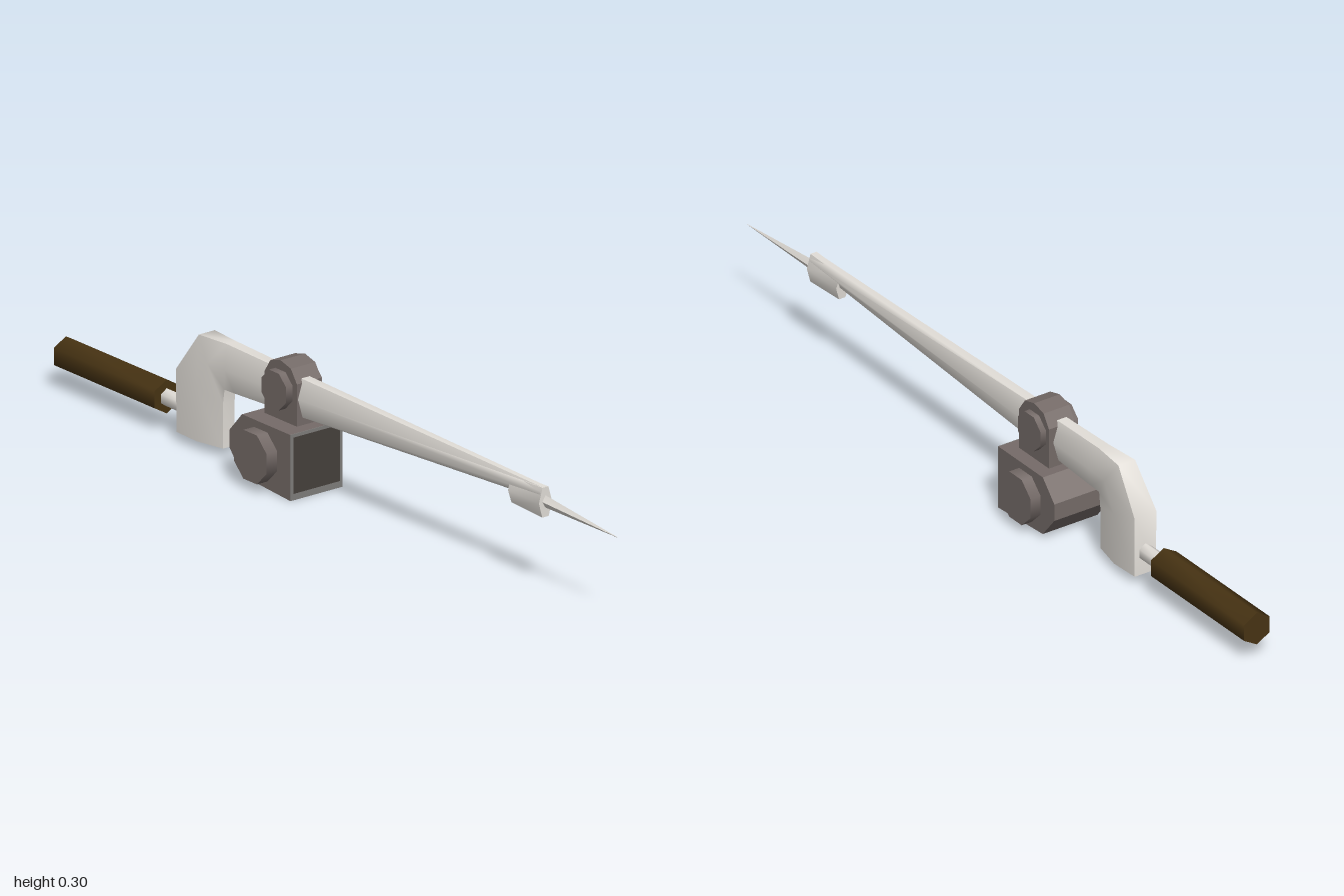
import * as THREE from 'three';
import { toCreasedNormals } from 'three/addons/utils/BufferGeometryUtils.js';

const mat = (name, color) => {
  const m = new THREE.MeshStandardMaterial({ color });
  m.name = name;
  return m;
};

export function createModel() {
  const root = new THREE.Group();
  const bone = mat('pale metal', 0xe2ded8);
  const iron = mat('dark iron', 0x756b68);
  const edge = mat('worn grey edge', 0x7f7d7b);
  const dark = mat('blackened iron', 0x46403c);
  const wood = mat('brown wood', 0x473313);

  const add = (name, geo, material, x = 0, y = 0, z = 0) => {
    const m = new THREE.Mesh(geo, material);
    m.name = name;
    m.position.set(x, y, z);
    root.add(m);
  };

  // Skin a list of equal-length point rings and cap both ends
  const loft = (rings, crease) => {
    const n = rings[0].length, idx = [];
    rings.slice(1).forEach((_, r) => {
      for (let i = 0; i < n; i++) {
        const a = r * n + i, b = r * n + (i + 1) % n;
        idx.push(a, b, a + n, b, b + n, a + n);
      }
    });
    const last = (rings.length - 1) * n;
    for (let i = 1; i < n - 1; i++) idx.push(0, i + 1, i, last, last + i, last + i + 1);
    const g = new THREE.BufferGeometry();
    g.setAttribute('position', new THREE.Float32BufferAttribute(rings.flat(2), 3));
    g.setIndex(idx);
    return toCreasedNormals(g, crease);
  };

  // Six-sided section between an upper point and a lower point, widest midway;
  // k is the width of the upper edge relative to the middle
  const section = ([tx, ty, bx, by, w, k = 0.45]) =>
    [[0, -k], [0, k], [0.5, 1], [1, 0.5], [1, -0.5], [0.5, -1]]
      .map(([t, s]) => [tx + (bx - tx) * t, ty + (by - ty) * t, s * w]);

  // Bent stock running into a long tapering barrel
  add('barrel', loft([
    [-0.563, 0.022, -0.41, 0.022, 0.033, 0.9],
    [-0.563, 0.175, -0.41, 0.13, 0.034, 0.9],
    [-0.49, 0.277, -0.405, 0.166, 0.033, 0.7],
    [-0.40, 0.278, -0.37, 0.167, 0.032],
    [-0.13, 0.271, -0.13, 0.178, 0.027],
    [0.735, 0.255, 0.735, 0.225, 0.014],
  ].map(section), 1.15), bone);

  // Lug under the muzzle
  add('muzzleLug', loft([
    [0.622, 0.25, 0.625, 0.188, 0.018],
    [0.737, 0.255, 0.737, 0.183, 0.019],
  ].map(section), 1.15), bone);

  // Four-sided spike
  const diamond = (x, y, h, w) => [[x, y + h, 0], [x, y, w], [x, y - h, 0], [x, y, -w]];
  add('spike', loft([diamond(0.70, 0.222, 0.017, 0.01), diamond(1, 0.208, 0.0005, 0.0005)], 0.5), bone);

  // Handle and its rod, six-sided with a corner on top, lying along x
  const bar = (name, r, x0, x1, y, material, depth) => {
    const g = new THREE.CylinderGeometry(r, r, x1 - x0, 6).rotateY(Math.PI / 6).rotateZ(-Math.PI / 2);
    g.scale(1, 1, depth);
    add(name, toCreasedNormals(g, 1.2), material, (x0 + x1) / 2, y);
  };
  bar('handle', 0.041, -1, -0.635, 0.08, wood, 1);
  bar('handleRod', 0.022, -0.65, -0.55, 0.078, bone, 0.85);

  // Lower housing, tapered toward the handle
  const rect = (x, y0, y1, w) => [[x, y1, -w], [x, y1, w], [x, y0, w], [x, y0, -w]];
  add('housing', loft([
    rect(-0.313, 0.067, 0.11, 0.076),
    rect(-0.268, 0.012, 0.16, 0.076),
    rect(-0.094, 0, 0.16, 0.076),
  ], 0.5), iron);

  // Grey rim and dark plate on the housing's flat end
  add('housingRim', new THREE.BoxGeometry(0.002, 0.16, 0.152), edge, -0.093, 0.08);
  add('housingPlate', new THREE.BoxGeometry(0.002, 0.136, 0.136), dark, -0.092, 0.084);

  // Clamp around the barrel
  const outline = [[-0.243, 0.155], [-0.126, 0.155], [-0.126, 0.262], [-0.148, 0.294],
    [-0.185, 0.304], [-0.222, 0.294], [-0.243, 0.262]];
  const clamp = new THREE.Shape(outline.map(p => new THREE.Vector2(...p)));
  add('clamp', new THREE.ExtrudeGeometry(clamp, { depth: 0.071, bevelEnabled: false }), iron, 0, 0, -0.041);

  // Eight-sided bosses passing through both blocks
  const boss = (name, r, x, y, z0, z1) => {
    const g = new THREE.CylinderGeometry(r, r, z1 - z0, 8).rotateY(Math.PI / 8).rotateX(Math.PI / 2);
    add(name, toCreasedNormals(g, 0.9), iron, x, y, (z0 + z1) / 2);
  };
  boss('housingBoss', 0.064, -0.2, 0.083, -0.104, 0.107);
  boss('clampBoss', 0.048, -0.186, 0.236, -0.056, 0.049);

  return root;
}
